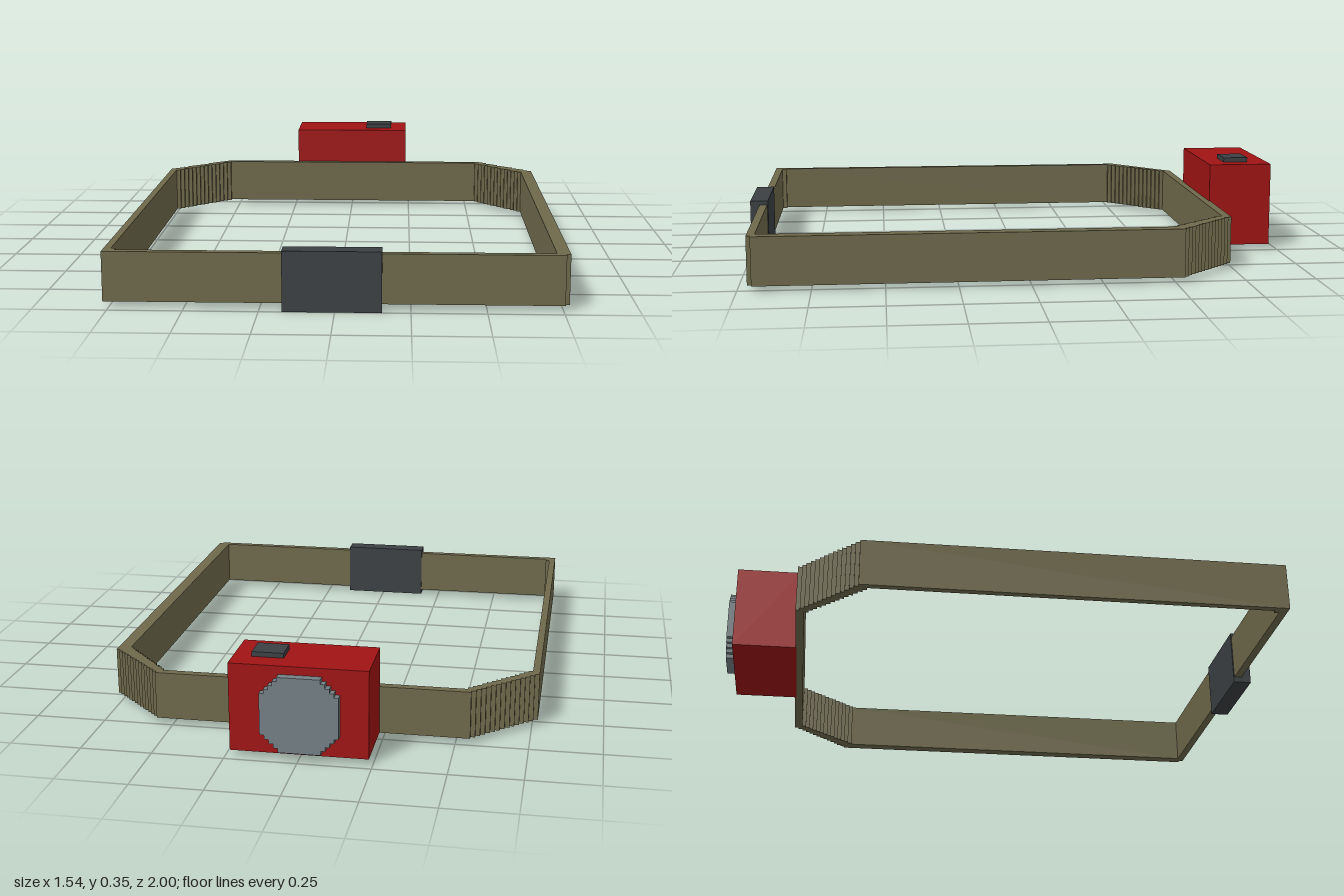
import * as THREE from 'three';

const mat = (color) => new THREE.MeshStandardMaterial({ color, flatShading: true });
const olive = mat(0x6e694b), red = mat(0xa01414), dark = mat(0x3b4043), steel = mat(0x748085);

// Box from its minimum and maximum corners
function box(name, [x0, y0, z0], [x1, y1, z1], material) {
  const mesh = new THREE.Mesh(new THREE.BoxGeometry(x1 - x0, y1 - y0, z1 - z0), material);
  mesh.position.set((x0 + x1) / 2, (y0 + y1) / 2, (z0 + z1) / 2);
  mesh.name = name;
  return mesh;
}

// Staircase of points from a to b, moving along x or y first in each step
function stairs([ax, ay], [bx, by], steps, xFirst) {
  const points = [new THREE.Vector2(ax, ay)];
  for (let i = 0; i < steps; i++) {
    const t0 = i / steps, t1 = (i + 1) / steps;
    const x0 = ax + (bx - ax) * t0, x1 = ax + (bx - ax) * t1;
    const y0 = ay + (by - ay) * t0, y1 = ay + (by - ay) * t1;
    points.push(xFirst ? new THREE.Vector2(x1, y0) : new THREE.Vector2(x0, y1));
    points.push(new THREE.Vector2(x1, y1));
  }
  return points;
}

const v = (x, y) => new THREE.Vector2(x, y);

// Closed strap drawn in plan, with stepped rear corners
function createStrap() {
  const steps = 14;
  const outer = new THREE.Shape([
    ...stairs([-0.77, -0.53], [-0.55, -0.74], steps, true),
    ...stairs([0.56, -0.74], [0.77, -0.53], steps, false),
    v(0.77, 0.95), v(0.755, 0.95), v(0.755, 0.965), v(-0.77, 0.965),
  ]);
  outer.holes.push(new THREE.Path([
    ...stairs([-0.745, -0.5], [-0.535, -0.71], steps, true),
    ...stairs([0.54, -0.71], [0.725, -0.5], steps, false),
    v(0.725, 0.937), v(-0.73, 0.937), v(-0.73, 0.92), v(-0.745, 0.92),
  ]));
  const geometry = new THREE.ExtrudeGeometry(outer, { depth: 0.17, bevelEnabled: false });
  geometry.rotateX(Math.PI / 2).translate(0, 0.19, 0);
  const strap = new THREE.Mesh(geometry, olive);
  strap.name = 'strap';
  return strap;
}

// Round disc with stepped corners
function createLens() {
  const r = 0.133, f = 0.058, steps = 5;
  const geometry = new THREE.ExtrudeGeometry(new THREE.Shape([
    ...stairs([r, f], [f, r], steps, false),
    ...stairs([-f, r], [-r, f], steps, true),
    ...stairs([-r, -f], [-f, -r], steps, false),
    ...stairs([f, -r], [r, -f], steps, true),
  ].map((p) => p)), { depth: 0.035, bevelEnabled: false });
  const lens = new THREE.Mesh(geometry, steel);
  lens.position.set(-0.008, 0.168, -1);
  lens.name = 'lens';
  return lens;
}

export function createModel() {
  const model = new THREE.Group();
  model.name = 'headStrapLamp';
  model.add(createStrap());
  model.add(box('buckle', [-0.173, 0, 0.934], [0.155, 0.205, 1], dark));

  // Lamp housing with its disc and top button
  const lamp = new THREE.Group();
  lamp.name = 'lamp';
  lamp.add(box('housing', [-0.237, 0.02, -0.97], [0.235, 0.33, -0.735], red));
  lamp.add(box('button', [0.062, 0.325, -0.895], [0.171, 0.347, -0.803], dark));
  lamp.add(createLens());
  model.add(lamp);
  return model;
}
